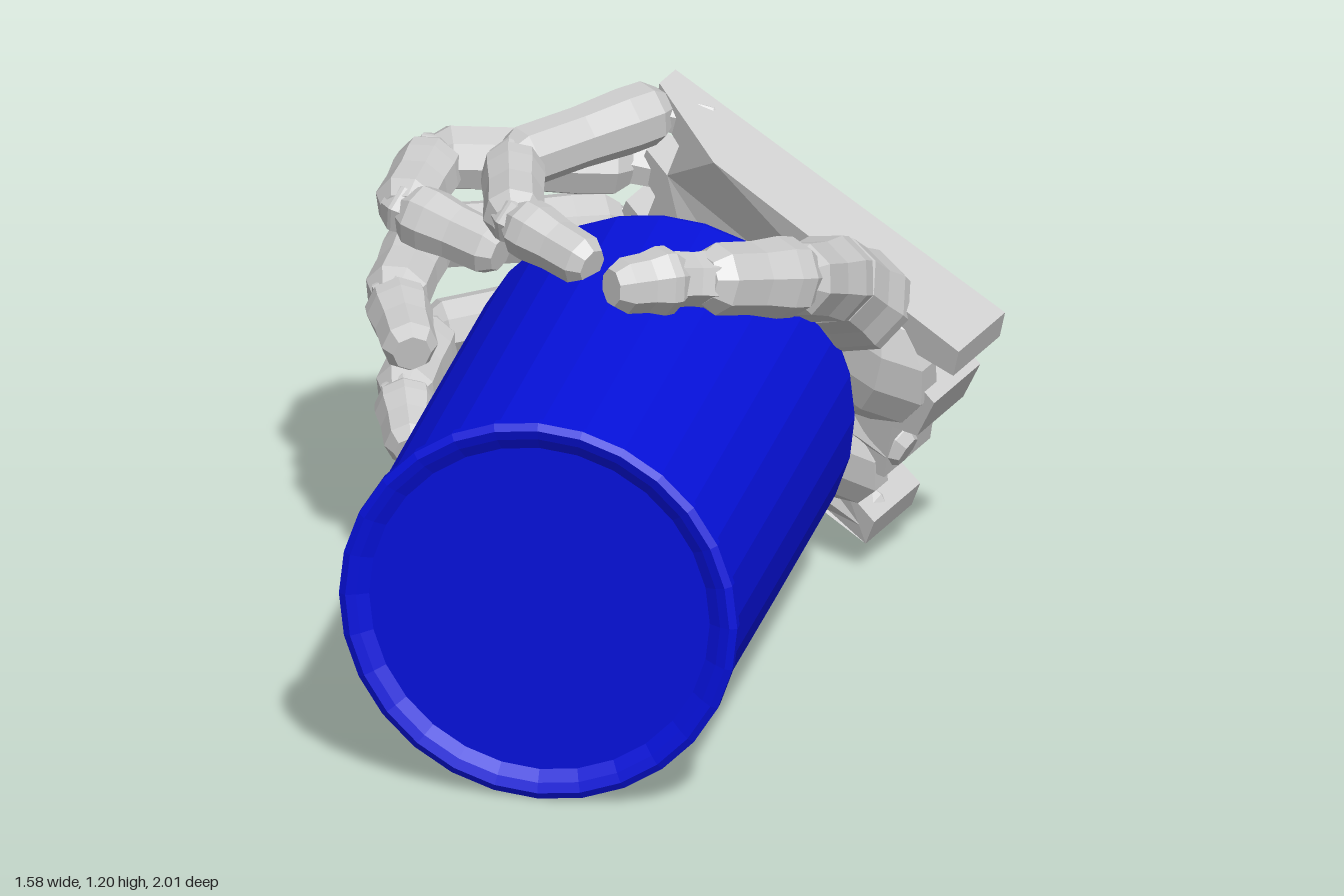
import * as THREE from 'three';

const grey = new THREE.MeshStandardMaterial({ color: 0xcccccc, flatShading: true });
const blue = new THREE.MeshStandardMaterial({ color: 0x0611dc, flatShading: true });
const V3 = (a) => new THREE.Vector3(...a);

function add(parent, name, geometry, material = grey) {
  const mesh = new THREE.Mesh(geometry, material);
  mesh.name = name;
  parent.add(mesh);
  return mesh;
}

// chamfered eight-sided bone running from p to q
function segment(parent, name, p, q, r0, r1, sides = 8) {
  const a = V3(p), b = V3(q), dir = b.clone().sub(a);
  const L = dir.length(), e = Math.min(r0, r1) * 0.5;
  const profile = [
    [0, -e], [r0 * 0.68, -e], [r0, 0], [r0 * 1.02, L * 0.2],
    [(r0 + r1) * 0.48, L * 0.55], [r1, L], [r1 * 0.68, L + e], [0, L + e],
  ].map((c) => new THREE.Vector2(...c));
  const mesh = add(parent, name, new THREE.LatheGeometry(profile, sides, Math.PI / 8));
  mesh.position.copy(a);
  mesh.quaternion.setFromUnitVectors(new THREE.Vector3(0, 1, 0), dir.normalize());
}

function makeCan() {
  const profile = [
    [0, -0.35], [0.41, -0.35], [0.44, -0.38], [0.485, -0.38], [0.49, -0.36],
    [0.49, 0.3], [0.488, 0.94], [0.503, 0.965], [0.503, 0.99], [0.485, 1],
    [0.46, 0.992], [0.43, 0.975], [0, 0.975],
  ].map((c) => new THREE.Vector2(...c));
  const can = new THREE.Mesh(new THREE.LatheGeometry(profile, 28), blue);
  can.name = 'can';
  can.rotation.x = Math.PI / 2;
  can.position.set(-0.04, 0.51, 0);
  return can;
}

// palm frame: u runs knuckles to wrist, v runs index to little finger, n points out of the back
function makePalm() {
  const palm = new THREE.Group();
  palm.name = 'palm';
  const A = V3([-0.1, 1.21, -0.785]);
  const U = V3([0.9, -0.45, 0.28]).normalize();
  const V = V3([-0.18, -0.69, -0.21]);
  V.addScaledVector(U, -V.dot(U)).normalize();
  const N = U.clone().cross(V);
  palm.applyMatrix4(new THREE.Matrix4().makeBasis(U, V, N).setPosition(A));

  const outline = [
    [0, 0], [0.25, 0], [1.04, 0], [1.05, 0.08], [0.93, 0.1], [0.93, 0.17],
    [1.03, 0.2], [1.02, 0.33], [0.95, 0.36], [0.98, 0.52], [0.9, 0.55],
    [0.9, 0.64], [1.0, 0.67], [1.0, 0.75], [0.25, 0.75], [0.04, 0.74], [0.03, 0.64],
    [0.3, 0.6], [0.4, 0.51], [0.3, 0.54], [0.12, 0.54], [0.12, 0.47], [0.04, 0.46],
    [0.04, 0.39], [0.12, 0.38], [0.12, 0.28], [0.04, 0.27], [0.04, 0.2],
    [0.13, 0.19], [0.13, 0.08], [0.02, 0.07],
  ].map((c) => new THREE.Vector2(...c));
  const slab = new THREE.ExtrudeGeometry(new THREE.Shape(outline), { depth: 1, bevelEnabled: false });
  const pos = slab.attributes.position;
  for (let i = 0; i < pos.count; i++) {
    // thin at the knuckles, thick at the wrist
    const u = pos.getX(i);
    const t = THREE.MathUtils.clamp(0.07 + u * 0.4, 0.07, 0.17) + u * 0.03;
    pos.setZ(i, (pos.getZ(i) - 1) * t);
  }
  add(palm, 'palmSlab', slab);

  // pads on the inner side
  const pads = [
    ['thumbPad', [0.77, 0.22, -0.18], [0.25, 0.19, 0.1]],
    ['heelPad', [0.74, 0.57, -0.18], [0.25, 0.15, 0.08]],
  ];
  for (const [name, p, s] of pads) {
    const pad = add(palm, name, new THREE.SphereGeometry(1, 9, 6));
    pad.position.set(...p);
    pad.scale.set(...s);
  }
  // stubs along the wrist edge
  for (const v of [0.27, 0.45, 0.7]) {
    segment(palm, 'wristStub', [0.78, v, -0.15], [0.96, v + 0.01, -0.14], 0.065, 0.06, 7);
  }
  return palm;
}

const fingers = [
  { name: 'indexFinger', r: 0.082, path: [[-0.13, 1.13, -0.71], [-0.42, 1.1, -0.39], [-0.35, 1.07, -0.1], [-0.14, 1.02, 0.01]], root: [0.0, 1.1, -0.73] },
  { name: 'middleFinger', r: 0.088, path: [[-0.23, 0.95, -0.79], [-0.67, 0.99, -0.62], [-0.69, 0.95, -0.38], [-0.44, 0.9, -0.29]], root: [-0.06, 0.92, -0.8] },
  { name: 'ringFinger', r: 0.088, path: [[-0.27, 0.75, -0.85], [-0.7, 0.77, -0.63], [-0.71, 0.72, -0.36], [-0.62, 0.68, -0.14]], root: [-0.1, 0.71, -0.86] },
  { name: 'littleFinger', r: 0.082, path: [[-0.28, 0.55, -0.89], [-0.69, 0.5, -0.67], [-0.7, 0.44, -0.41], [-0.64, 0.38, -0.23]], root: [-0.13, 0.53, -0.89] },
];

function makeFinger({ name, r, path, root }) {
  const finger = new THREE.Group();
  finger.name = name;
  segment(finger, 'knuckle', root, path[0], r * 0.6, r * 0.65, 6);
  const bones = ['proximalBone', 'middleBone', 'fingertip'];
  bones.forEach((bone, i) => {
    const a = V3(path[i]), b = V3(path[i + 1]);
    // leave a small gap at each joint
    const p = a.clone().lerp(b, i ? 0.14 : 0.06), q = a.clone().lerp(b, 0.93);
    segment(finger, bone, p.toArray(), q.toArray(), r * (1 - i * 0.04), r * (i === 2 ? 0.8 : 0.95));
    if (i) segment(finger, 'joint', a.clone().lerp(b, -0.05).toArray(), p.toArray(), r * 0.75, r * 0.75, 6);
  });
  return finger;
}

function makeThumb() {
  const thumb = new THREE.Group();
  thumb.name = 'thumb';
  segment(thumb, 'thumbBase', [0.46, 0.79, -0.42], [0.42, 0.91, -0.27], 0.13, 0.115);
  segment(thumb, 'thumbProximal', [0.42, 0.92, -0.26], [0.38, 1.01, -0.03], 0.112, 0.095);
  segment(thumb, 'thumbMiddle', [0.37, 1.02, -0.02], [0.22, 1.08, 0.17], 0.1, 0.09);
  segment(thumb, 'thumbJoint', [0.22, 1.08, 0.17], [0.13, 1.1, 0.24], 0.07, 0.07, 6);
  segment(thumb, 'thumbTip', [0.12, 1.1, 0.245], [0.025, 1.11, 0.33], 0.085, 0.07);
  return thumb;
}

export function createModel() {
  const model = new THREE.Group();
  const hand = new THREE.Group();
  hand.name = 'hand';
  hand.add(makePalm(), makeThumb(), ...fingers.map(makeFinger));
  model.add(makeCan(), hand);
  return model;
}
